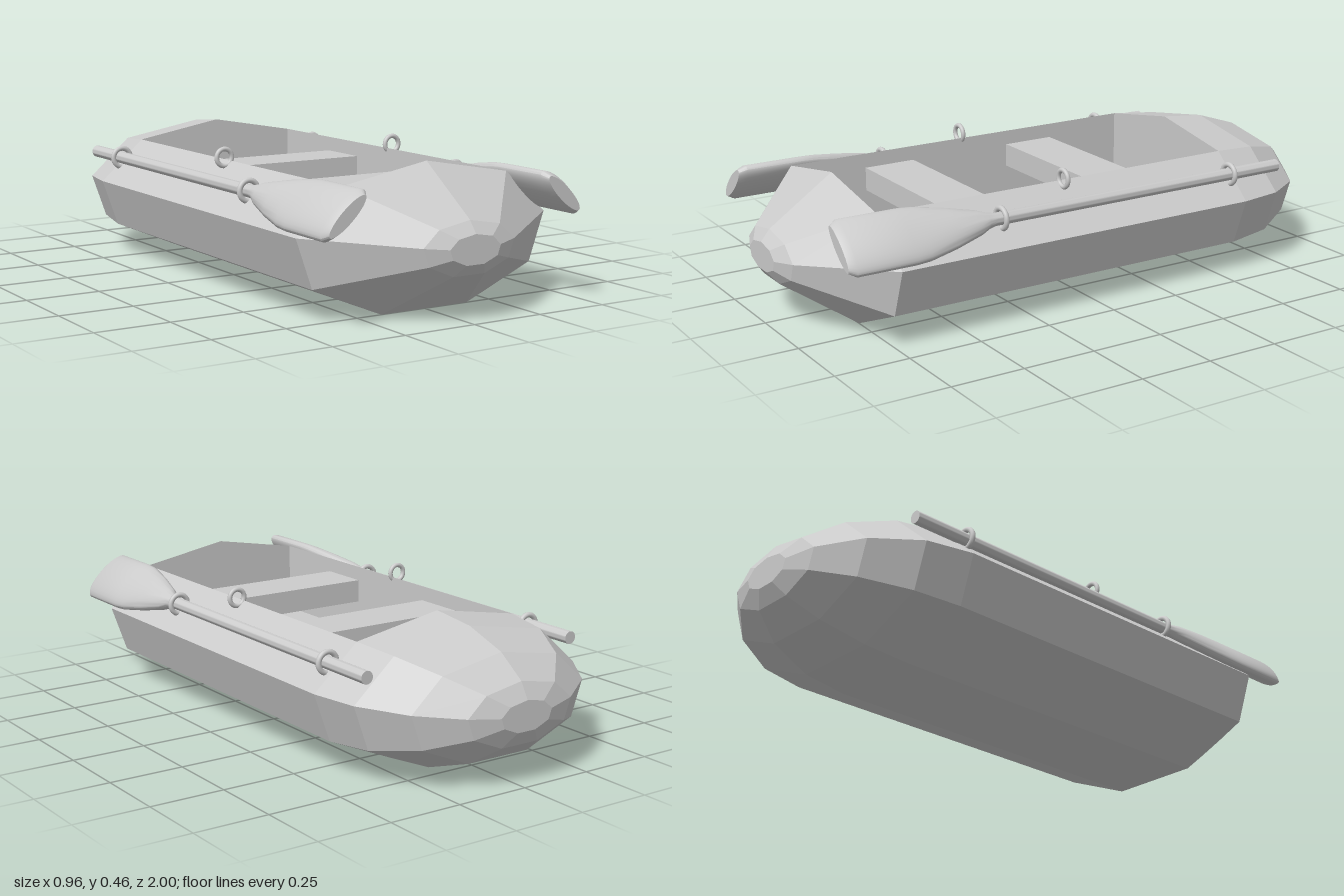
import * as THREE from 'three';
import { toCreasedNormals } from 'three/addons/utils/BufferGeometryUtils.js';

const smooth = new THREE.MeshStandardMaterial({ color: 0xcccccc });
const faceted = new THREE.MeshStandardMaterial({ color: 0xcccccc, flatShading: true, side: THREE.DoubleSide });

function add(parent, name, geometry, material, x = 0, y = 0, z = 0) {
  const mesh = new THREE.Mesh(geometry, material);
  mesh.name = name;
  mesh.position.set(x, y, z);
  parent.add(mesh);
  return mesh;
}

// Skin over rings of [x, y, z] points (clockwise seen from +z), running towards +z, closed at both ends.
function loft(rings, isOpen = () => false) {
  const n = rings[0].length, last = (rings.length - 1) * n, index = [];
  for (let i = 0; i < rings.length - 1; i++) {
    for (let j = 0; j < n; j++) {
      if (isOpen(i, j)) continue;
      const a = i * n + j, b = i * n + (j + 1) % n;
      index.push(a, a + n, b + n, a, b + n, b);
    }
  }
  for (let j = 1; j < n - 1; j++) index.push(0, j, j + 1, last, last + j + 1, last + j);
  const geometry = new THREE.BufferGeometry();
  geometry.setAttribute('position', new THREE.Float32BufferAttribute(rings.flat(2), 3));
  geometry.setIndex(index);
  return geometry;
}

export function createModel() {
  const boat = new THREE.Group();
  boat.name = 'rowingBoat';

  const innerX = 0.31, rimY = 0.405, peakY = 0.46, floorY = 0.16;
  const sternZ = -0.565, bowZ = 0.75;

  // Hull: one nine-sided section shrinking towards both ends, open on top amidships
  const half = [[innerX, rimY], [0.467, 0.265], [0.41, 0.105], [0.162, 0]];
  const section = [[0, peakY], ...half, ...half.map(([x, y]) => [-x, y]).reverse()];
  const stations = [
    [-1, 0.21], [-0.97, 0.43], [-0.875, 0.72], [-0.725, 0.93], [sternZ, 1],
    [bowZ, 1], [0.97, 0.36], [1, 0.2],
  ];
  const midY = 0.225;
  const hullRings = stations.map(([z, s]) => section.map(([x, y]) => [x * s, midY + (y - midY) * s, z]));
  const hull = loft(hullRings, (i, j) => i === 4 && (j === 0 || j === section.length - 1)).toNonIndexed();
  hull.computeVertexNormals();
  add(boat, 'hull', hull, faceted);

  // Cockpit: floor, side walls and peaked end walls
  const length = bowZ - sternZ, centreZ = (bowZ + sternZ) / 2;
  const floor = add(boat, 'floor', new THREE.PlaneGeometry(innerX * 2, length), faceted, 0, floorY, centreZ);
  floor.rotation.x = -Math.PI / 2;
  for (const side of [-1, 1]) {
    const wall = add(boat, 'sideWall', new THREE.PlaneGeometry(length, rimY - floorY), faceted,
      side * innerX, (rimY + floorY) / 2, centreZ);
    wall.rotation.y = -side * Math.PI / 2;
  }
  const endShape = new THREE.Shape([
    [-innerX, floorY], [innerX, floorY], [innerX, rimY], [0, peakY], [-innerX, rimY],
  ].map(([x, y]) => new THREE.Vector2(x, y)));
  add(boat, 'sternWall', new THREE.ShapeGeometry(endShape), faceted, 0, 0, sternZ);
  add(boat, 'bowWall', new THREE.ShapeGeometry(endShape), faceted, 0, 0, bowZ).rotation.y = Math.PI;

  // Bench seats
  for (const z of [-0.1825, 0.3825]) {
    add(boat, 'seat', new THREE.BoxGeometry(innerX * 2, 0.08, 0.185), faceted, 0, 0.315, z);
  }

  // Oars: round shaft flattening into a wide blade; rows are z, half width, half thickness
  const oarStations = [
    [-0.745, 0.021, 0.021], [0.39, 0.021, 0.021], [0.415, 0.027, 0.024], [0.45, 0.043, 0.029],
    [0.55, 0.073, 0.033], [0.65, 0.096, 0.034], [0.7, 0.1, 0.034], [0.9, 0.1, 0.034], [0.925, 0.083, 0.022],
  ];
  const sides = 32;
  const oarGeometry = toCreasedNormals(loft(oarStations.map(([z, a, b]) =>
    Array.from({ length: sides }, (_, k) => {
      const t = k / sides * Math.PI * 2;
      return [a * Math.sin(t), b * Math.cos(t), z];
    }))), 0.6);
  const oarRing = new THREE.TorusGeometry(0.033, 0.009, 10, 28);
  const rowlockRing = new THREE.TorusGeometry(0.028, 0.008, 10, 28);

  for (const side of [-1, 1]) {
    const name = side > 0 ? 'left' : 'right';
    const oar = add(boat, name + 'Oar', oarGeometry, smooth, side * 0.401, 0.349, 0);
    oar.rotation.z = -side * 0.74;
    for (const z of [-0.54, 0.365]) add(boat, name + 'OarRing', oarRing, smooth, side * 0.401, 0.349, z);
    add(boat, name + 'RimRing', rowlockRing, smooth, side * 0.334, 0.417, 0.09);
  }
  return boat;
}
